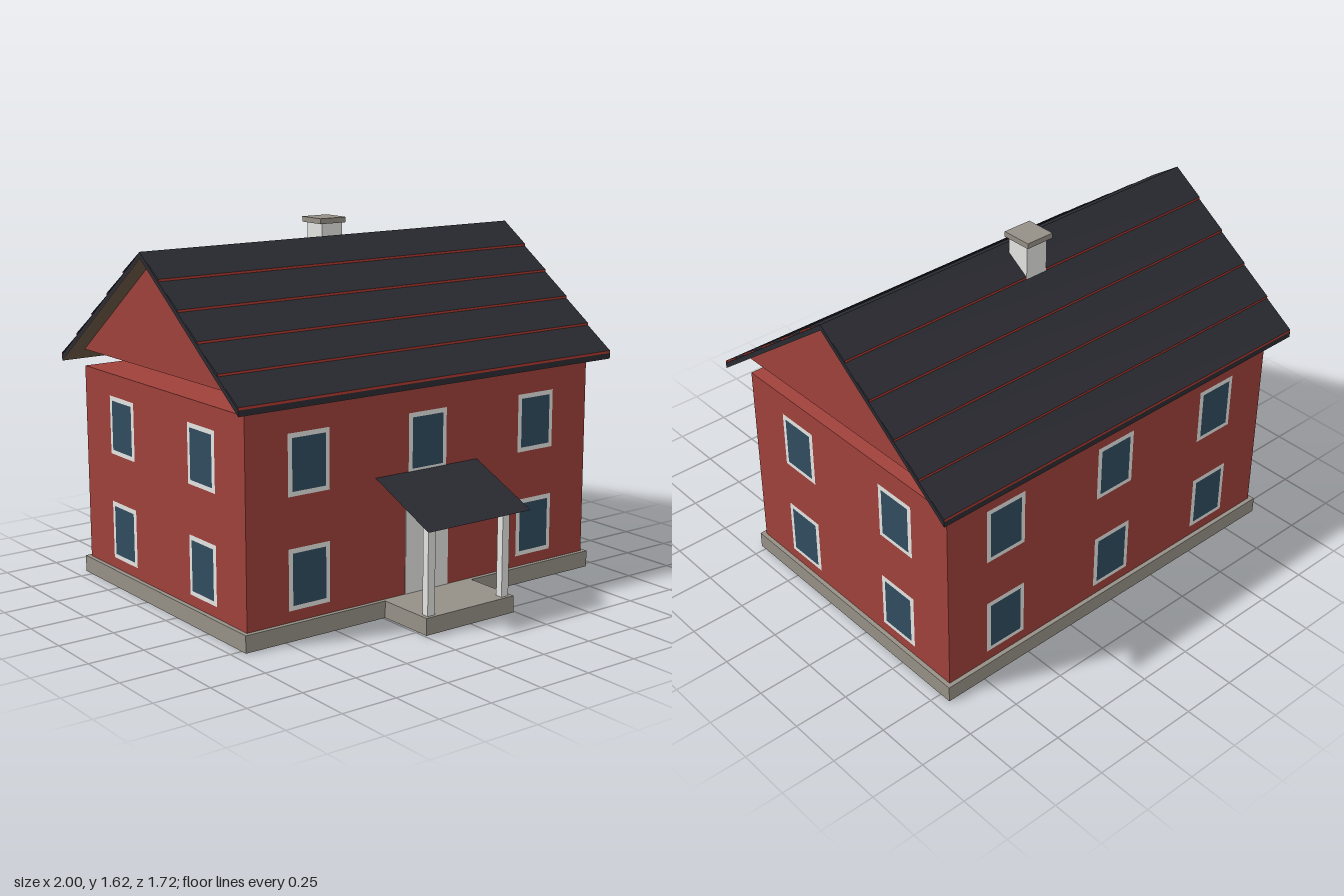
import * as THREE from 'three';

const mat = (name, color, side = THREE.FrontSide) => {
  const m = new THREE.MeshStandardMaterial({ color, side });
  m.name = name;
  return m;
};

export function createModel() {
  const wallRed = mat('wall red', 0xa0413b);
  const edgeRed = mat('tile edge red', 0xb43a2f, THREE.DoubleSide);
  const stone = mat('stone grey', 0x969087, THREE.DoubleSide);
  const trim = mat('trim white', 0xe4e4e2);
  const glass = mat('window blue', 0x304c5e);
  const slate = mat('roof slate', 0x2a2b32, THREE.DoubleSide);
  const wood = mat('eave brown', 0x6a5644);

  const house = new THREE.Group();
  house.name = 'house';

  const add = (name, geometry, material, parent = house) => {
    const mesh = new THREE.Mesh(geometry, material);
    mesh.name = name;
    parent.add(mesh);
    return mesh;
  };
  // box given by its limits on each axis
  const box = (name, [x0, x1], [y0, y1], [z0, z1], material, parent) => {
    const g = new THREE.BoxGeometry(x1 - x0, y1 - y0, z1 - z0);
    g.translate((x0 + x1) / 2, (y0 + y1) / 2, (z0 + z1) / 2);
    return add(name, g, material, parent);
  };
  // the same box without its bottom face
  const openBox = (...args) => {
    const g = box(...args).geometry;
    g.setIndex([...g.index.array].filter((_, i) => i < 18 || i >= 24));
  };
  // prism from x0 to x1 with a [z, y] outline
  const prism = (name, points, [x0, x1], material, parent) => {
    const shape = new THREE.Shape(points.map(([z, y]) => new THREE.Vector2(-z, y)));
    const g = new THREE.ExtrudeGeometry(shape, { depth: x1 - x0, bevelEnabled: false });
    g.rotateY(Math.PI / 2).translate(x0, 0, 0);
    return add(name, g, material, parent);
  };
  // flat sheet across x between two [z, y] points
  const sheet = (name, [z0, y0], [z1, y1], width, material, parent) => {
    const g = new THREE.PlaneGeometry(width, Math.hypot(z1 - z0, y1 - y0));
    g.rotateX(-Math.atan2(z1 - z0, y0 - y1));
    g.translate(0, (y0 + y1) / 2, (z0 + z1) / 2);
    return add(name, g, material, parent);
  };

  // hollow base and walls
  const W = 0.925, FRONT = 0.51, BACK = -0.785, RIDGE = -0.1375;
  openBox('foundation', [-0.945, 0.945], [0, 0.075], [-0.805, 0.53], stone);
  openBox('walls', [-W, W], [0.075, 0.965], [BACK, FRONT], wallRed);

  // thin gables, open to the attic between them
  for (const span of [[W - 0.006, W], [-W, 0.006 - W]]) {
    prism('gable', [[FRONT, 1.04], [RIDGE, 1.52], [BACK, 1.04]], span, wallRed);
  }

  // windows: flat frame with a pane just in front
  const addWindow = (x, y, z, turn) => {
    const win = new THREE.Group();
    win.name = 'window';
    add('frame', new THREE.PlaneGeometry(0.206, 0.262), trim, win).position.z = 0.0015;
    add('pane', new THREE.PlaneGeometry(0.166, 0.222), glass, win).position.z = 0.003;
    win.position.set(x, y, z);
    win.rotation.y = turn;
    house.add(win);
  };
  for (const y of [0.255, 0.735]) {
    for (const x of [-0.618, 0, 0.618]) {
      if (x !== 0 || y > 0.5) addWindow(x, y, FRONT, 0);
      addWindow(x, y, BACK, Math.PI);
    }
    for (const z of [0.187, -0.461]) {
      addWindow(W, y, z, Math.PI / 2);
      addWindow(-W, y, z, -Math.PI / 2);
    }
  }

  // main roof: slab, brown underside and five overlapping rows of tile sheets
  const roof = new THREE.Group();
  roof.name = 'roof';
  house.add(roof);
  const RUN = 0.7225, ROWS = 5;
  const top = (d) => 1.546 - 0.741 * d;
  for (const s of [1, -1]) {
    const at = (d, lift) => [RIDGE + s * d, top(d) + lift];
    prism('roofSlab', [at(0, 0), at(RUN, 0), at(RUN, -0.024), at(0, -0.024)], [-1, 1], slate, roof);
    prism('roofUnderside', [at(0, -0.024), at(RUN, -0.024), at(RUN, -0.026), at(0, -0.026)], [-1, 1], wood, roof);
    for (let i = 0; i < ROWS; i++) {
      const d0 = (RUN * i) / ROWS, d1 = (RUN * (i + 1)) / ROWS;
      sheet('tileRow', at(d0, 0.001), at(d1, 0.011), 2, slate, roof);
      sheet('tileEdge', at(d1, 0.011), at(d1, 0), 2, edgeRed, roof);
    }
  }

  // chimney
  box('chimney', [-0.055, 0.055], [1.38, 1.597], [-0.284, -0.173], trim);
  box('chimneyCap', [-0.069, 0.069], [1.597, 1.621], [-0.303, -0.163], stone);

  // porch: hollow step, door, square posts and sloping canopy
  const porch = new THREE.Group();
  porch.name = 'porch';
  house.add(porch);
  openBox('step', [-0.24, 0.24], [0, 0.075], [0.53, 0.805], stone, porch);
  box('door', [-0.117, 0.117], [0.075, 0.5], [FRONT, FRONT + 0.003], trim, porch);
  for (const x of [-0.203, 0.203]) {
    box('post', [x - 0.019, x + 0.019], [0.075, 0.485], [0.756, 0.79], trim, porch);
  }
  sheet('canopy', [FRONT, 0.613], [0.858, 0.46], 0.556, slate, porch);

  return house;
}
